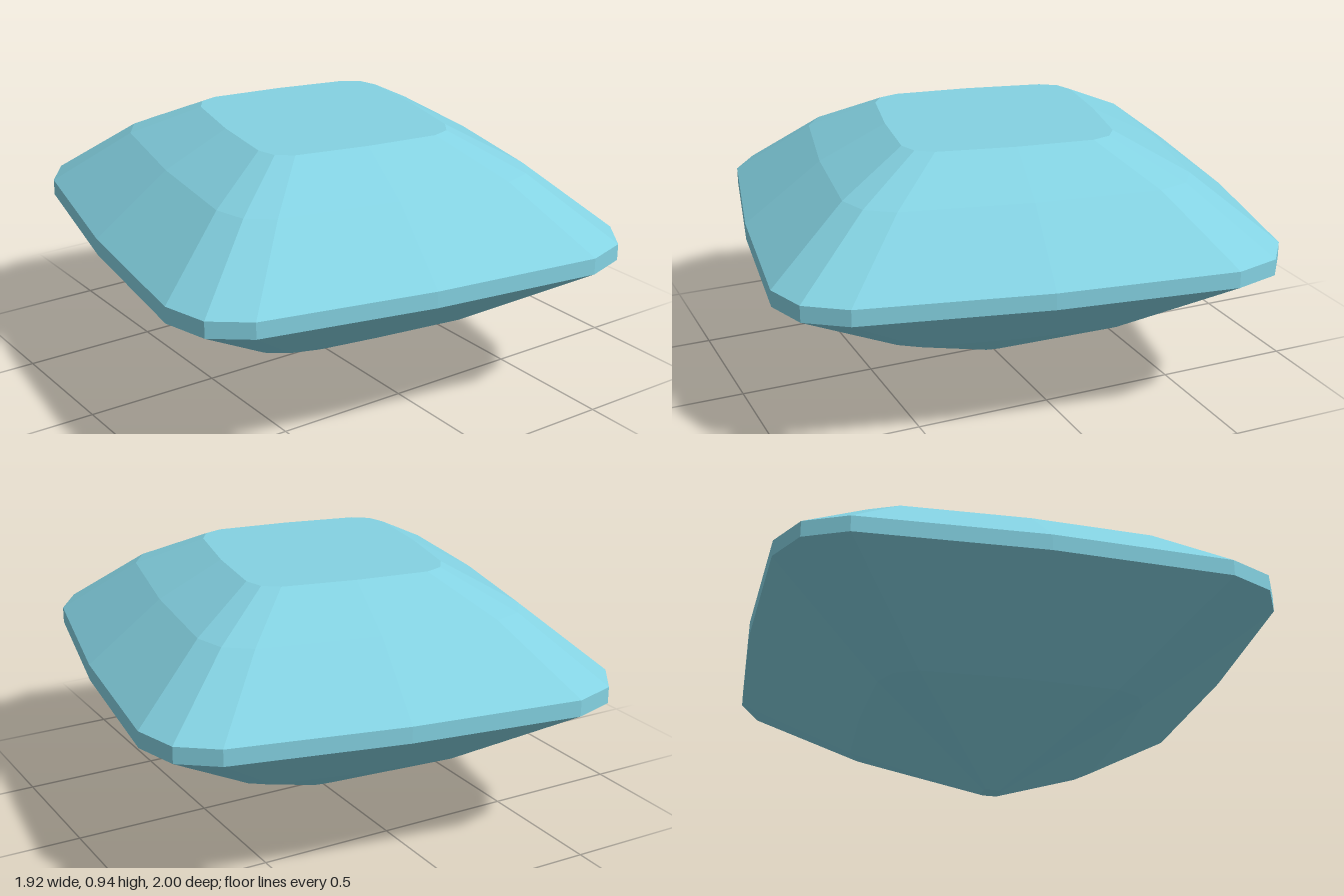
import * as THREE from 'three';

// Half of the cushion outline as [x, z]; the other half is its point reflection
const HALF = [
  [-0.46, -1.0], [0.165, -0.91], [0.785, -0.77], [0.915, -0.67],
  [0.96, -0.5], [0.87, 0.15], [0.72, 0.81], [0.62, 0.95],
];
const OUTLINE = [...HALF, ...HALF.map(([x, z]) => [-x, -z])];

// Facets through scaled copies of the outline, listed upward as [scale, y];
// a scale of 0 closes a level to a point
function facets(levels) {
  const pos = [];
  const at = ([s, y], i) => {
    const [x, z] = OUTLINE[i % OUTLINE.length];
    return [x * s, y, z * s];
  };
  for (let k = 0; k < levels.length - 1; k++) {
    const low = levels[k], high = levels[k + 1];
    for (let i = 0; i < OUTLINE.length; i++) {
      const a = at(low, i), b = at(low, i + 1), c = at(high, i + 1), d = at(high, i);
      if (low[0] > 0) pos.push(...a, ...c, ...b);
      if (high[0] > 0) pos.push(...a, ...d, ...c);
    }
  }
  const geo = new THREE.BufferGeometry();
  geo.setAttribute('position', new THREE.Float32BufferAttribute(pos, 3));
  geo.computeVertexNormals(); // unshared corners give flat facets
  return geo;
}

export function createModel() {
  const gem = new THREE.Group();
  gem.name = 'gem';
  const crystal = new THREE.MeshStandardMaterial({ color: 0x84d2e2 });
  crystal.name = 'pale blue crystal';
  crystal.flatShading = true;

  const parts = {
    culet: [[0, 0], [0.037, 0]],
    pavilion: [[0.037, 0], [0.54, 0.25], [1, 0.54]],
    girdle: [[1, 0.54], [1, 0.6]],
    crown: [[1, 0.6], [0.695, 0.82], [0.43, 0.945]],
    table: [[0.43, 0.945], [0, 0.945]],
  };
  for (const [name, levels] of Object.entries(parts)) {
    const mesh = new THREE.Mesh(facets(levels), crystal);
    mesh.name = name;
    gem.add(mesh);
  }
  return gem;
}
